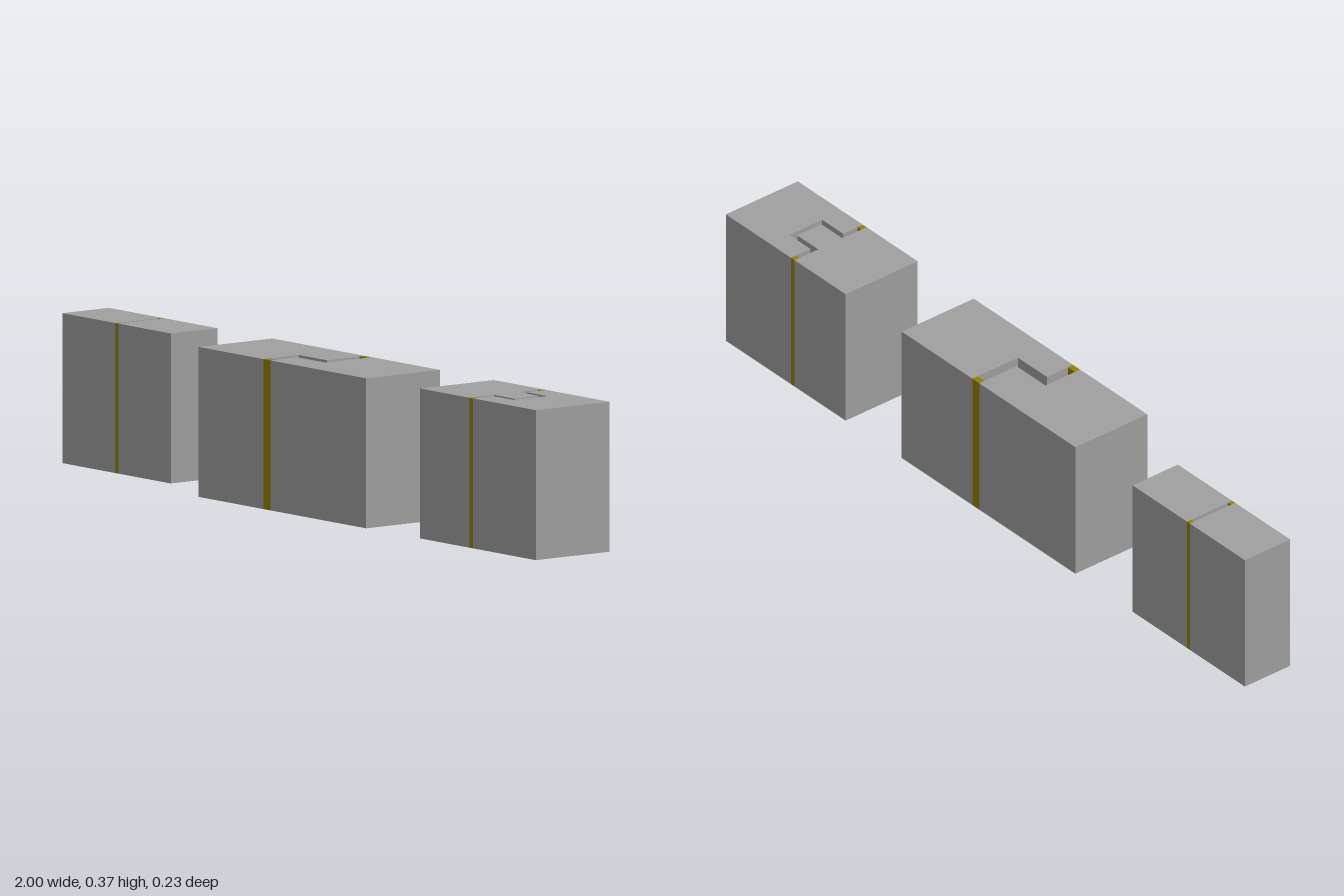
import * as THREE from 'three';

const HEIGHT = 0.373;
const BACK = -0.115;

export function createModel() {
  const group = new THREE.Group();
  const concrete = new THREE.MeshStandardMaterial({ color: 0xa0a0a0 });
  concrete.name = 'concrete grey';
  const sealant = new THREE.MeshStandardMaterial({ color: 0x948000 });
  sealant.name = 'sealant ochre';

  // Upright prism from a plan outline of [x, z] points
  function prism(name, plan, material) {
    const shape = new THREE.Shape(plan.map(([x, z]) => new THREE.Vector2(x, -z)));
    const geometry = new THREE.ExtrudeGeometry(shape, { depth: HEIGHT, bevelEnabled: false });
    geometry.rotateX(-Math.PI / 2);
    const mesh = new THREE.Mesh(geometry, material);
    mesh.name = name;
    return mesh;
  }

  // Seal strip filling one end of a joint
  function seal(name, x0, x1, z0, z1) {
    return prism(name, [[x0, z0], [x1, z0], [x1, z1], [x0, z1]], sealant);
  }

  // Two wall halves on either side of a joint; the edges run back to front
  function wall({ name, x0, x1, right, left, sealDepth }) {
    const part = new THREE.Group();
    part.name = name;
    const front = right[right.length - 1][1];
    part.add(prism('rightHalf', [[x0, BACK], ...right, [x0, front]], concrete));
    part.add(prism('leftHalf', [[x1, BACK], ...left, [x1, front]], concrete));
    const last = right.length - 1;
    part.add(seal('backSeal', right[0][0], left[0][0], BACK, BACK + sealDepth));
    part.add(seal('frontSeal', right[last][0], left[last][0], front - sealDepth, front));
    group.add(part);
  }

  // Straight butt joint
  wall({
    name: 'straightJointWall', x0: -1, x1: -0.567, sealDepth: 0.014,
    right: [[-0.788, BACK], [-0.788, 0.03]],
    left: [[-0.777, BACK], [-0.777, 0.03]],
  });

  // Stepped joint
  wall({
    name: 'steppedJointWall', x0: -0.347, x1: 0.322, sealDepth: 0.017,
    right: [[0.023, BACK], [0.023, 0.004], [-0.088, 0.004], [-0.088, 0.115]],
    left: [[0.05, BACK], [0.05, 0.031], [-0.061, 0.031], [-0.061, 0.115]],
  });

  // Tongue and groove joint
  wall({
    name: 'tongueJointWall', x0: 0.538, x1: 1, sealDepth: 0.017,
    right: [[0.735, BACK], [0.735, -0.039], [0.816, -0.039], [0.816, 0.038], [0.735, 0.038], [0.735, 0.115]],
    left: [[0.749, BACK], [0.749, -0.053], [0.83, -0.053], [0.83, 0.052], [0.749, 0.052], [0.749, 0.115]],
  });

  return group;
}
